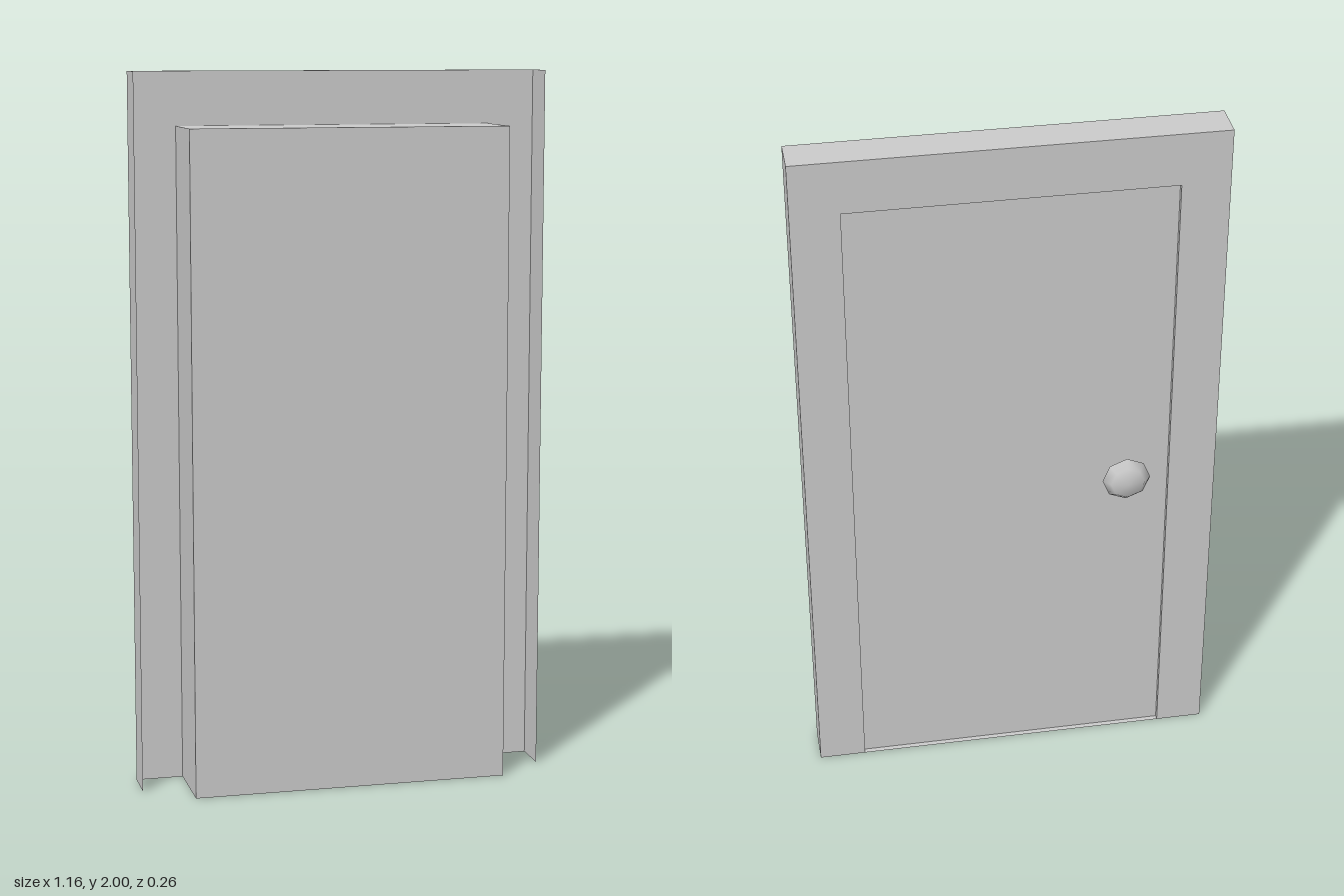
import * as THREE from 'three';

const W = 0.58, H = 2;          // frame half width, height
const w = 0.447, h = 1.85;      // opening half width, height
const BACK = -0.08, FRONT = 0.03, PANEL = -0.065, DEEP = 0.13;

const solid = new THREE.MeshStandardMaterial({ color: 0xcccccc });
const thin = new THREE.MeshStandardMaterial({ color: 0xcccccc, side: THREE.DoubleSide });

function add(group, name, geometry, material) {
  const mesh = new THREE.Mesh(geometry, material);
  mesh.name = name;
  group.add(mesh);
  return mesh;
}

// Flat-sided strip following x,y points, running from z0 to z1
function ribbon(points, z0, z1) {
  const pos = [];
  for (let i = 0; i < points.length - 1; i++) {
    const [ax, ay] = points[i], [bx, by] = points[i + 1];
    pos.push(ax, ay, z0, bx, by, z0, bx, by, z1);
    pos.push(ax, ay, z0, bx, by, z1, ax, ay, z1);
  }
  const g = new THREE.BufferGeometry();
  g.setAttribute('position', new THREE.Float32BufferAttribute(pos, 3));
  g.computeVertexNormals();
  return g;
}

export function createModel() {
  const model = new THREE.Group();
  model.name = 'door';

  // Frame: hollow casing, open at the bottom and toward +z
  const frame = new THREE.Group();
  frame.name = 'frame';
  model.add(frame);
  const outer = [[W, 0], [W, H], [-W, H], [-W, 0]];
  const inner = [[-w, 0], [-w, h], [w, h], [w, 0]];
  const face = new THREE.Shape([...outer, ...inner].map(p => new THREE.Vector2(...p)));
  const faceGeometry = new THREE.ShapeGeometry(face);
  faceGeometry.rotateY(Math.PI);
  faceGeometry.translate(0, 0, BACK);
  add(frame, 'frameFace', faceGeometry, thin);
  add(frame, 'frameSides', ribbon(outer, FRONT, BACK), thin);

  // Shallow reveal around the recessed panel
  add(frame, 'reveal', ribbon([...inner, inner[0]], BACK, PANEL), thin);

  // Door slab
  const slab = add(model, 'doorSlab', new THREE.BoxGeometry(2 * w, h, DEEP - PANEL), solid);
  slab.position.set(0, h / 2, (DEEP + PANEL) / 2);

  // Knob: flattened low-poly ball with its pole along z
  const knobGeometry = new THREE.SphereGeometry(1, 8, 4);
  knobGeometry.rotateX(-Math.PI / 2);
  knobGeometry.scale(0.068, 0.068, 0.032);
  const knob = add(model, 'knob', knobGeometry, solid);
  knob.position.set(-0.322, 0.933, -0.098);

  return model;
}
